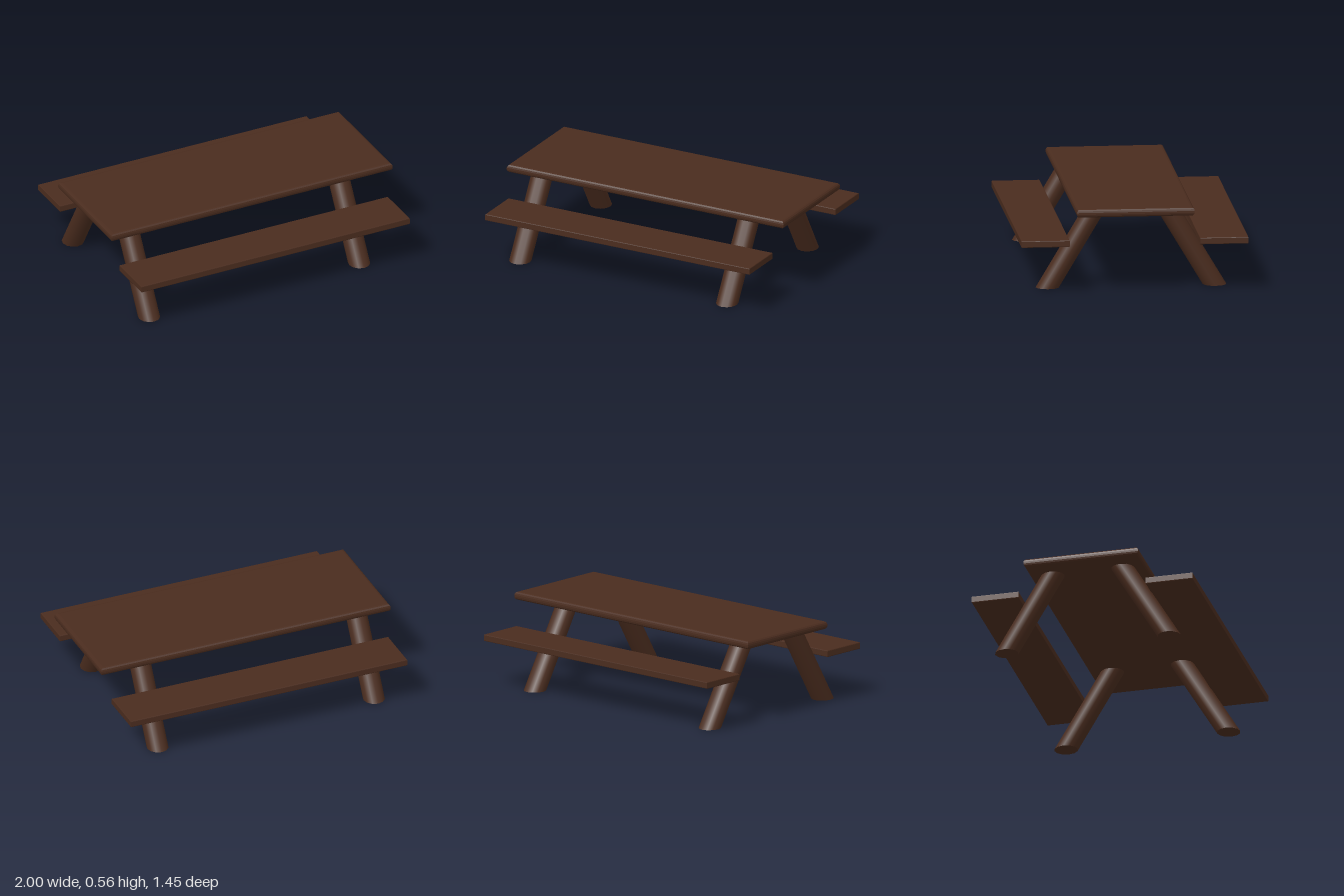
import * as THREE from 'three';

const wood = new THREE.MeshStandardMaterial({ color: 0x4a2c1e });

// Horizontal plank with bevelled, mitred edges; outer size w x h x d
function plank(name, w, h, d, bevel, segments) {
  const x = w / 2 - bevel, z = d / 2 - bevel;
  const outline = new THREE.Shape([
    new THREE.Vector2(-x, -z), new THREE.Vector2(x, -z),
    new THREE.Vector2(x, z), new THREE.Vector2(-x, z),
  ]);
  const geometry = new THREE.ExtrudeGeometry(outline, {
    depth: h - 2 * bevel, bevelEnabled: true,
    bevelThickness: bevel, bevelSize: bevel, bevelSegments: segments,
  });
  geometry.rotateX(-Math.PI / 2);
  geometry.center();
  const mesh = new THREE.Mesh(geometry, wood);
  mesh.name = name;
  return mesh;
}

// Log leg sheared outwards, with level ends
function leg(name, x, side) {
  const height = 0.52, topZ = 0.222, bottomZ = 0.533;
  const geometry = new THREE.CylinderGeometry(0.07, 0.07, height, 12);
  geometry.scale(1, 1, 1.08);
  geometry.translate(0, height / 2, 0);
  const slope = side * (topZ - bottomZ) / height;
  geometry.applyMatrix4(new THREE.Matrix4().set(
    1, 0, 0, x,
    0, 1, 0, 0,
    0, slope, 1, side * bottomZ,
    0, 0, 0, 1,
  ));
  const mesh = new THREE.Mesh(geometry, wood);
  mesh.name = name;
  return mesh;
}

export function createModel() {
  const table = new THREE.Group();
  table.name = 'picnicTable';

  const top = plank('tableTop', 2, 0.054, 0.75, 0.021, 3);
  top.position.y = 0.535;
  table.add(top);

  // Bench and two legs on each long side
  for (const [label, side] of [['front', 1], ['back', -1]]) {
    const bench = plank(label + 'Bench', 1.91, 0.044, 0.308, 0.005, 2);
    bench.position.set(-0.01, 0.333, side * 0.57);
    table.add(bench);
    table.add(leg(label + 'RightLeg', -0.815, side));
    table.add(leg(label + 'LeftLeg', 0.68, side));
  }
  return table;
}
